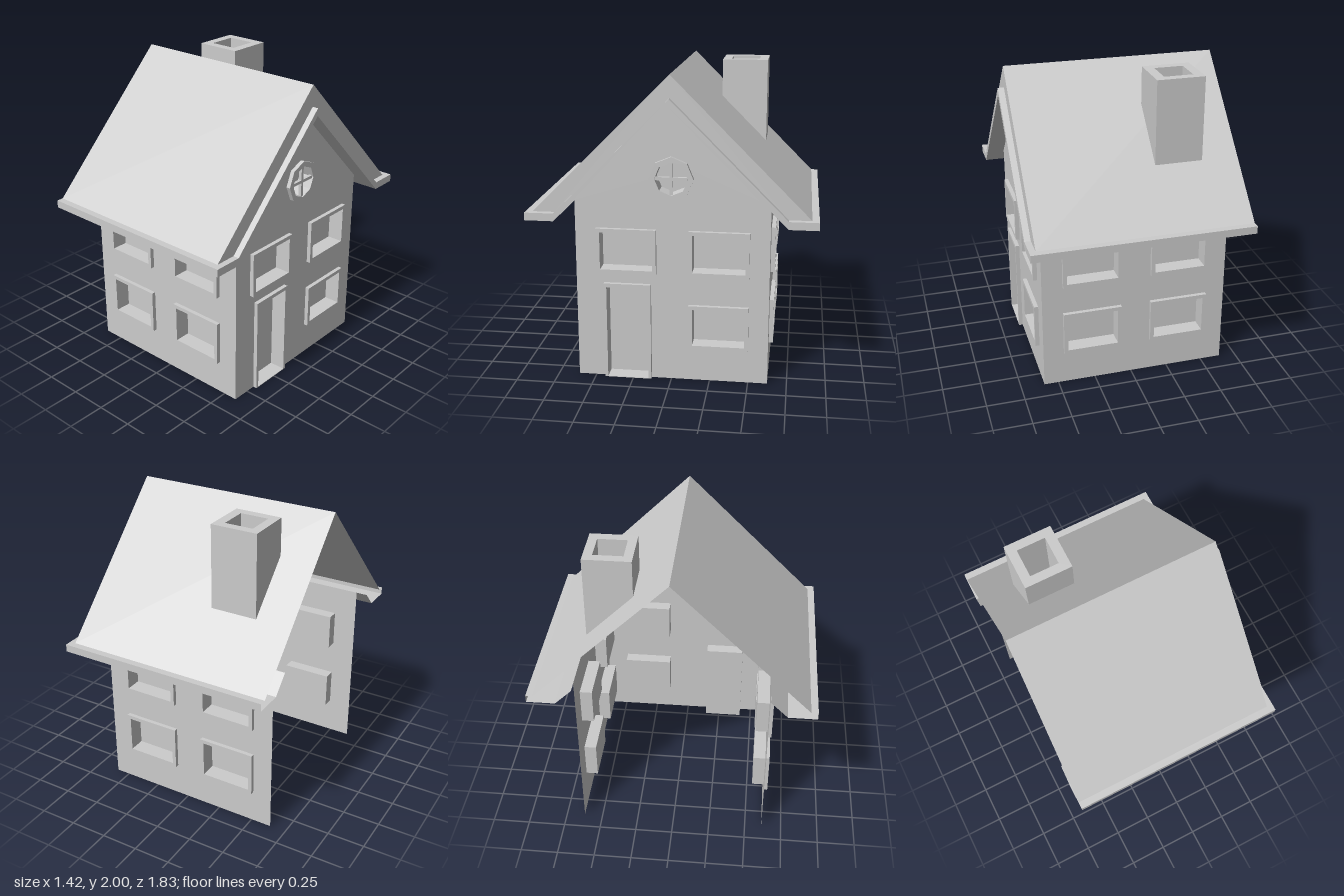
import * as THREE from 'three';

const MAT = new THREE.MeshStandardMaterial({ color: 0xcccccc, flatShading: true, side: THREE.DoubleSide });
const C = -0.005;        // z of the ridge
const HALF = 0.62;       // half depth of the house
const X0 = -0.64, X1 = 0.595; // open end and gable end
const PROUD = 0.027, DEEP = 0.08; // frame projection and recess depth

const mesh = (geo, name, parent) => {
  const m = new THREE.Mesh(geo, MAT);
  m.name = name;
  parent.add(m);
  return m;
};
const v2 = pts => pts.map(([a, b]) => new THREE.Vector2(a, b));
const rect = (a, b, c, d) => v2([[a, b], [c, b], [c, d], [a, d]]);
const polygon = (cx, cy, r, n) => Array.from({ length: n }, (_, i) => {
  const t = (i / n) * Math.PI * 2;
  return new THREE.Vector2(cx + r * Math.cos(t), cy + r * Math.sin(t));
});
const shapeOf = (outer, holes = []) => {
  const s = new THREE.Shape(outer);
  s.holes = holes.map(h => new THREE.Path(h));
  return s;
};
const extrude = (shape, depth) => new THREE.ExtrudeGeometry(shape, { depth, bevelEnabled: false });

// Ribbon: a polyline in (a, b) swept from depth c0 to c1 (local z)
function ribbon(pts, c0, c1) {
  const pos = [];
  for (let i = 0; i + 1 < pts.length; i++) {
    const p = pts[i], q = pts[i + 1];
    pos.push(p.x, p.y, c0, q.x, q.y, c0, q.x, q.y, c1, p.x, p.y, c0, q.x, q.y, c1, p.x, p.y, c1);
  }
  const g = new THREE.BufferGeometry();
  g.setAttribute('position', new THREE.Float32BufferAttribute(pos, 3));
  g.computeVertexNormals();
  return g;
}

// Raised frame plus the closed recess behind it
function opening(outer, inner, name, parent) {
  const g = new THREE.Group();
  g.name = name;
  mesh(extrude(shapeOf(outer, [inner]), PROUD), name + 'Frame', g);
  mesh(ribbon([...inner, inner[0]], 0, -DEEP), name + 'Reveal', g);
  mesh(new THREE.ShapeGeometry(shapeOf(inner)), name + 'Panel', g).position.z = -DEEP;
  parent.add(g);
  return inner;
}
function rectWindow(cx, cy, parent) {
  const w = 0.193, h = 0.148, t = 0.025;
  return opening(rect(cx - w, cy - h, cx + w, cy + h),
    rect(cx - w + t, cy - h + t, cx + w - t, cy + h - t), 'window', parent);
}

// Front and back walls, four windows each
function longWall(name, side) {
  const g = new THREE.Group();
  g.name = name;
  const holes = [];
  for (const x of [-0.317, 0.267])
    for (const y of [0.378, 0.868]) holes.push(rectWindow(x * side, y, g));
  const a = Math.min(X0 * side, X1 * side), b = Math.max(X0 * side, X1 * side);
  mesh(new THREE.ShapeGeometry(shapeOf(rect(a, 0, b, 1.19), holes)), name + 'Panel', g);
  g.position.z = C + side * HALF;
  if (side < 0) g.rotation.y = Math.PI;
  return g;
}

// Gable wall with door, three windows and an octagonal light
function gableWall() {
  const g = new THREE.Group();
  g.name = 'gableWall';
  const u = -C, cy = 1.35;
  const holes = [
    rectWindow(-0.287, 0.868, g),
    rectWindow(0.305, 0.868, g),
    rectWindow(0.305, 0.373, g),
    opening(rect(-0.435, 0, -0.13, 0.65), rect(-0.417, 0.004, -0.148, 0.625), 'door', g),
    opening(polygon(u, cy, 0.14, 8), polygon(u, cy, 0.105, 8), 'roundWindow', g),
  ];
  for (const [w, h] of [[0.205, 0.02], [0.02, 0.205]])
    mesh(new THREE.BoxGeometry(w, h, 0.02), 'glazingBar', g).position.set(u, cy, 0.008);
  const outline = v2([[u - HALF, 0], [u + HALF, 0], [u + HALF, 1.19], [u, 1.81], [u - HALF, 1.19]]);
  mesh(new THREE.ShapeGeometry(shapeOf(outline, holes)), 'gablePanel', g);
  g.rotation.y = Math.PI / 2;
  g.position.x = X1;
  return g;
}

// Roof shell; local x runs toward -z and local z toward +x
function roof() {
  const g = new THREE.Group();
  g.name = 'roof';
  const start = -0.715, end = 0.67, tip = 0.71;
  mesh(ribbon(v2([[-0.87, 1.13], [0, 2], [0.87, 1.13]]), start, end), 'roofSlopes', g);
  for (const s of [-1, 1])
    mesh(ribbon(v2([[s * 0.62, 1.19], [s * 0.73, 1.08], [s * 0.915, 1.08], [s * 0.915, 1.13], [s * 0.87, 1.13]]),
      start, X1), 'eaves', g);
  // End face of the slopes
  const face = v2([[0, 2], [-0.87, 1.13], [-0.73, 1.13], [0, 1.86], [0.73, 1.13], [0.87, 1.13]]);
  mesh(new THREE.ShapeGeometry(shapeOf(face)), 'roofEnd', g).position.z = end;
  // Verge trim running into the eave ends
  const half = [[0.73, 1.13], [0.915, 1.13], [0.915, 1.08], [0.73, 1.08]];
  const mirrored = half.map(([a, b]) => [-a, b]).reverse();
  const trim = v2([[0, 1.86], ...half, [0, 1.81], ...mirrored]);
  mesh(extrude(shapeOf(trim), tip - X1), 'vergeTrim', g).position.z = X1;
  g.rotation.y = Math.PI / 2;
  g.position.z = C;
  return g;
}

// Square flue whose lower edge follows the back slope
function chimney(parent) {
  const geo = extrude(shapeOf(rect(-0.475, 0.25, -0.165, 0.553), [rect(-0.415, 0.307, -0.228, 0.495)]), 1);
  geo.rotateX(-Math.PI / 2);
  const p = geo.attributes.position;
  for (let i = 0; i < p.count; i++)
    p.setY(i, p.getY(i) > 0.5 ? 2 : 2 - Math.abs(p.getZ(i) - C));
  geo.computeVertexNormals();
  mesh(geo, 'chimney', parent);
}

export function createModel() {
  const house = new THREE.Group();
  house.name = 'house';
  house.add(longWall('frontWall', 1), longWall('backWall', -1), gableWall(), roof());
  chimney(house);
  return house;
}
